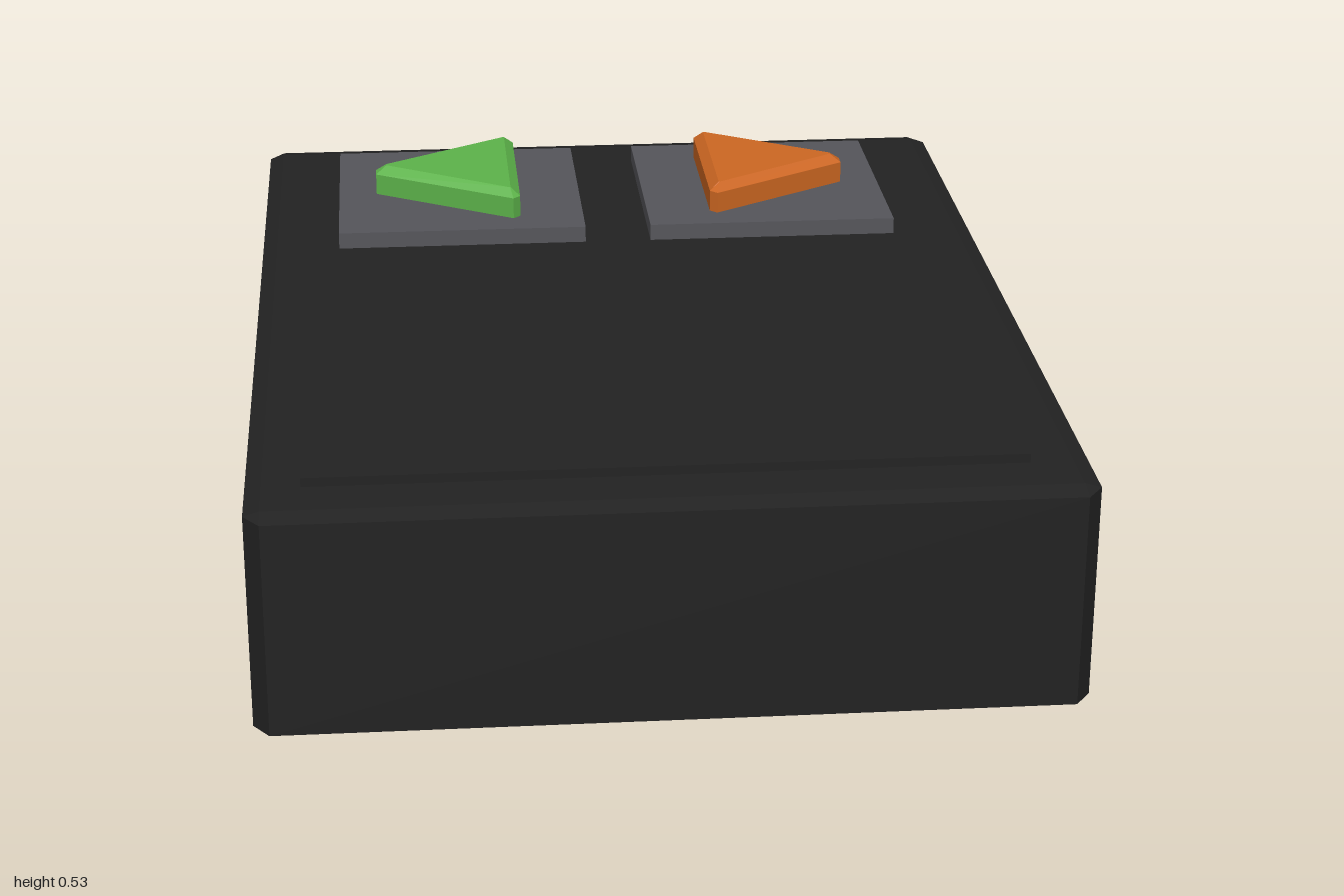
import * as THREE from 'three';

// Convex solid lofted through rings of [x, z] points (counter-clockwise from above), faceted
function loft(rings) {
  const pos = [];
  const tri = (...points) => points.forEach((p) => pos.push(...p));
  const loops = rings.map(({ y, points }) => points.map(([x, z]) => [x, y, z]));
  const n = loops[0].length;
  for (let k = 0; k < loops.length - 1; k++) {
    const low = loops[k], high = loops[k + 1];
    for (let i = 0; i < n; i++) {
      const j = (i + 1) % n;
      tri(low[i], low[j], high[j]);
      tri(low[i], high[j], high[i]);
    }
  }
  const bottom = loops[0], top = loops[loops.length - 1];
  for (let i = 1; i < n - 1; i++) {
    tri(bottom[0], bottom[i + 1], bottom[i]);
    tri(top[0], top[i], top[i + 1]);
  }
  const geometry = new THREE.BufferGeometry();
  geometry.setAttribute('position', new THREE.Float32BufferAttribute(pos, 3));
  geometry.computeVertexNormals();
  return geometry;
}

const mirrorX = (points) => points.map(([x, z]) => [-x, z]).reverse();

export function createModel() {
  const group = new THREE.Group();
  const material = (name, color) => new THREE.MeshStandardMaterial({ name, color });
  const black = material('black plastic', 0x222222);
  const grey = material('grey pad', 0x55555a);
  const green = material('green button', 0x5db34a);
  const orange = material('orange button', 0xcd6722);

  const add = (name, geometry, mat, x = 0, y = 0, z = 0) => {
    const mesh = new THREE.Mesh(geometry, mat);
    mesh.name = name;
    mesh.position.set(x, y, z);
    group.add(mesh);
  };

  // Case: box with cut corners and shallow bevels
  const outer = [[0.76, 0.96], [0.76, -0.96], [0.73, -1], [-0.73, -1],
    [-0.76, -0.96], [-0.76, 0.96], [-0.73, 1], [0.73, 1]];
  const inner = outer.map(([x, z]) => [Math.sign(x) * 0.73, Math.sign(z) * 0.96]);
  add('case', loft([
    { y: 0, points: inner }, { y: 0.01, points: outer },
    { y: 0.425, points: outer }, { y: 0.434, points: inner },
  ]), black);

  // Raised front panel
  add('frontPanel', new THREE.BoxGeometry(1.31, 0.04, 1.125), black, -0.005, 0.431, 0.302);

  // Arrow buttons on square pads, mirrored left and right
  const base = [[0.513, 0.015], [0.513, -0.015], [0.22, -0.195], [0.205, -0.18], [0.205, 0.18], [0.22, 0.195]];
  const face = [[0.49, 0.004], [0.49, -0.004], [0.227, -0.17], [0.225, -0.169], [0.225, 0.169], [0.227, 0.17]];
  for (const [side, mat] of [[1, orange], [-1, green]]) {
    const name = side > 0 ? 'left' : 'right';
    const shape = (points) => (side > 0 ? points : mirrorX(points));
    add(name + 'Pad', new THREE.BoxGeometry(0.525, 0.048, 0.525), grey, side * 0.332 - 0.004, 0.444, -0.597);
    add(name + 'ArrowButton', loft([
      { y: 0.45, points: shape(base) }, { y: 0.513, points: shape(base) }, { y: 0.53, points: shape(face) },
    ]), mat, -0.004, 0, -0.595);
  }
  return group;
}
